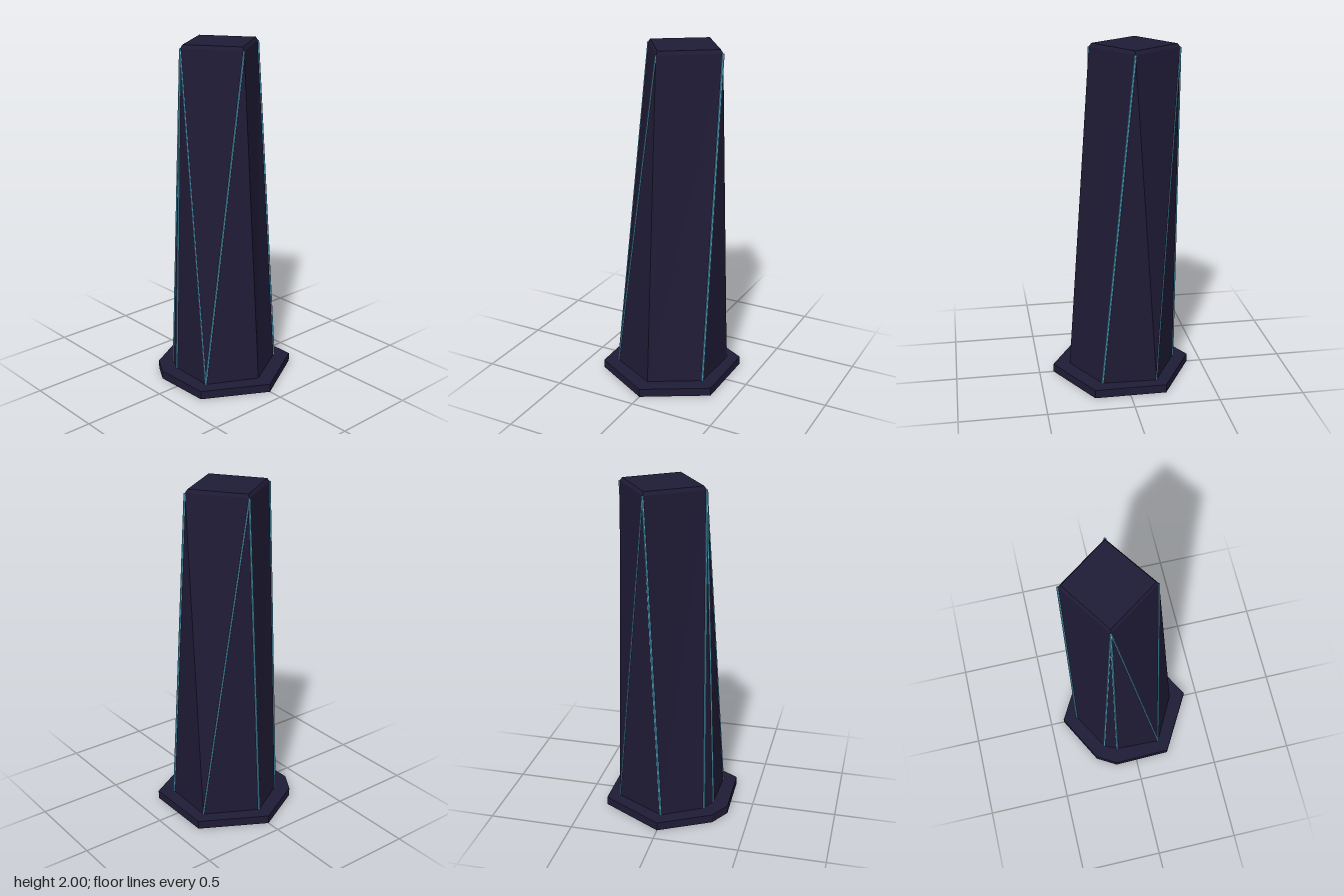
import * as THREE from 'three';

const dark = new THREE.MeshStandardMaterial({ color: 0x1f1b36, flatShading: true });
const glow = new THREE.MeshStandardMaterial({ color: 0x5ab4d6, flatShading: true });

// Outlines as [x, z], counter-clockwise seen from above
const plinthOutline = [[0, 0.415], [0.365, 0.21], [0.365, -0.21], [0, -0.415],
  [-0.298, -0.255], [-0.368, -0.135], [-0.36, 0.21]];
const foot = [[0, 0.315], [0.285, 0.155], [0.297, -0.165], [0, -0.325],
  [-0.235, -0.19], [-0.275, -0.11], [-0.283, 0.165]];
const head = [[-0.005, 0.178], [0.297, -0.03], [0.09, -0.317], [-0.212, -0.115]];
const FOOT_Y = 0.05, HEAD_Y = 1.98, TOP_Y = 2;

const at = (ring, y) => ring.map(([x, z]) => new THREE.Vector3(x, y, z));

export function createModel() {
  const group = new THREE.Group();
  const add = (name, geometry, material) => {
    const mesh = new THREE.Mesh(geometry, material);
    mesh.name = name;
    group.add(mesh);
    return mesh;
  };

  // Plinth with one clipped corner
  const shape = new THREE.Shape(plinthOutline.map(([x, z]) => new THREE.Vector2(x, -z)));
  const plinth = new THREE.ExtrudeGeometry(shape, { depth: FOOT_Y, bevelEnabled: false });
  add('plinth', plinth.rotateX(-Math.PI / 2), dark);

  // Faceted shaft: seven-sided foot joined to a twisted square head with a small bevel
  const h = at(foot, FOOT_Y);
  const t = at(head, HEAD_Y);
  const centre = new THREE.Vector3(0.0425, TOP_Y, -0.071);
  const cap = at(head, TOP_Y).map((p) => p.lerp(centre, 0.06));
  const points = [];
  const face = (...c) => {
    for (let i = 1; i < c.length - 1; i++) points.push(c[0], c[i], c[i + 1]);
  };
  face(h[0], h[1], t[1], t[0]);
  // Triangles standing on each foot side
  [[1, 1], [2, 2], [3, 3], [4, 3], [5, 3], [6, 0]].forEach(([i, j]) => face(h[i], h[(i + 1) % 7], t[j]));
  // Triangles hanging from the head sides
  [[2, 1], [3, 2], [6, 3]].forEach(([i, j]) => face(h[i], t[(j + 1) % 4], t[j]));
  for (let i = 0; i < 4; i++) {
    const n = (i + 1) % 4;
    face(t[i], t[n], cap[n], cap[i]);
  }
  face(...cap);
  const shaft = new THREE.BufferGeometry().setFromPoints(points);
  shaft.computeVertexNormals();
  add('shaft', shaft, dark);

  // Light strips along the long edges: foot corner, head corner, radius
  const strips = [[1, 1, 0.007], [2, 2, 0.004], [3, 2, 0.006], [4, 3, 0.006],
    [5, 3, 0.006], [6, 0, 0.005], [6, 3, 0.004]];
  const up = new THREE.Vector3(0, 1, 0);
  strips.forEach(([i, j, r]) => {
    const dir = t[j].clone().sub(h[i]);
    const strip = add('lightStrip', new THREE.CylinderGeometry(r, r, dir.length(), 6), glow);
    strip.position.copy(h[i]).lerp(t[j], 0.5);
    strip.quaternion.setFromUnitVectors(up, dir.normalize());
  });

  return group;
}
